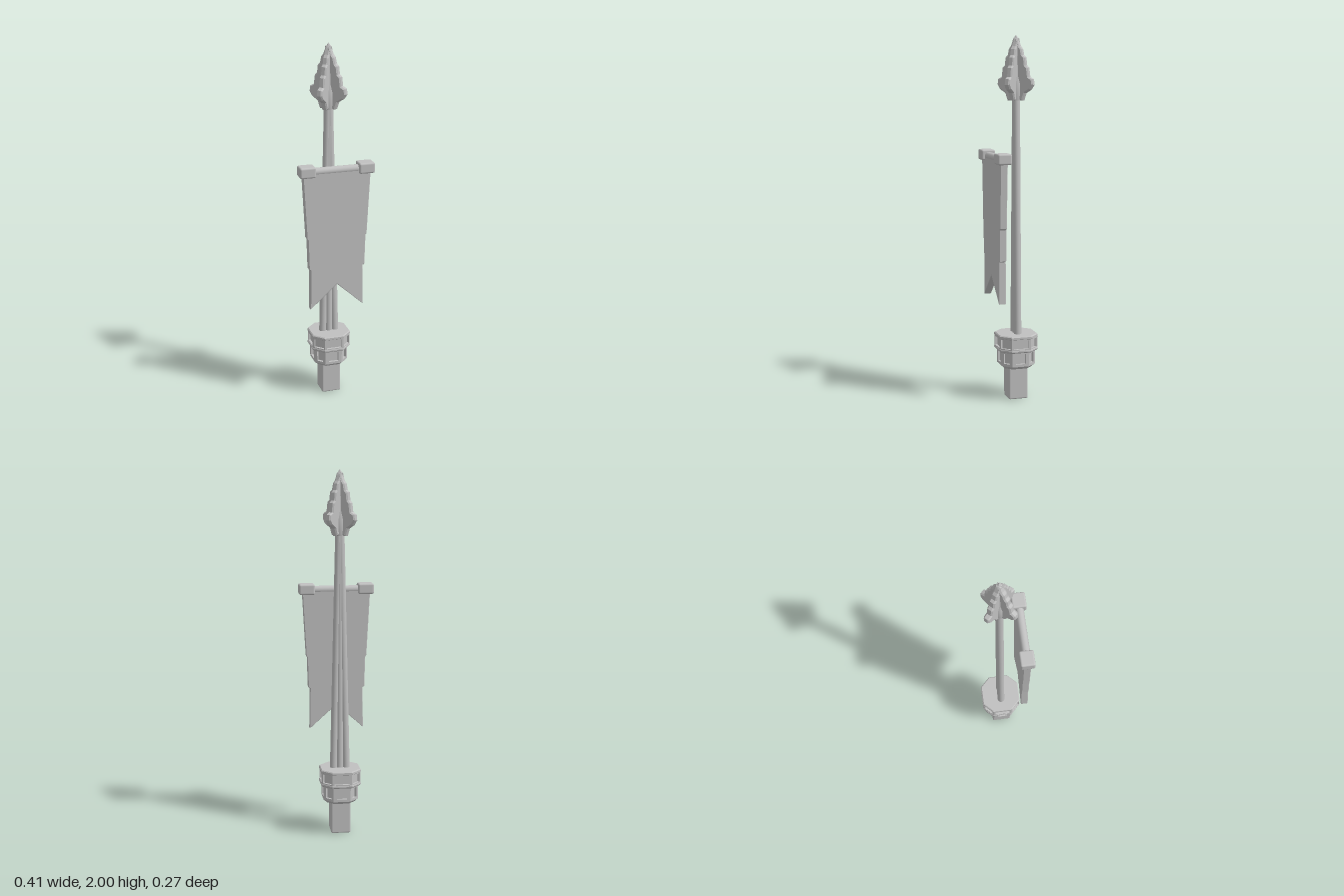
import * as THREE from 'three';
import { toCreasedNormals } from 'three/addons/utils/BufferGeometryUtils.js';
import { RoundedBoxGeometry } from 'three/addons/geometries/RoundedBoxGeometry.js';

const stone = new THREE.MeshStandardMaterial({ color: 0xc0c0c0 });
stone.name = 'plain grey';

function add(parent, name, geometry, x = 0, y = 0, z = 0) {
  const mesh = new THREE.Mesh(geometry, stone);
  mesh.name = name;
  mesh.position.set(x, y, z);
  parent.add(mesh);
  return mesh;
}

const shapeOf = pts => new THREE.Shape(pts.map(p => new THREE.Vector2(p[0], p[1])));

// Extrusion whose bevel stays inside the outline, centred on z
function slab(shape, thickness, bevel) {
  const g = new THREE.ExtrudeGeometry(shape, {
    depth: thickness - 2 * bevel, bevelEnabled: bevel > 0, bevelThickness: bevel,
    bevelSize: bevel, bevelOffset: -bevel, bevelSegments: 1,
  });
  return g.translate(0, 0, bevel - thickness / 2);
}

// Upright octagonal prism with chamfered top and bottom edges
function octPrism(a, y0, y1, bevel) {
  const h = a / 2;
  const shape = shapeOf([[a, -h], [a, h], [h, a], [-h, a], [-a, h], [-a, -h], [-h, -a], [h, -a]]);
  return slab(shape, y1 - y0, bevel).rotateX(-Math.PI / 2).translate(0, (y0 + y1) / 2, 0);
}

// Octagonal ring with one recessed window in every side
function windowRing(parent, name, a, y0, y1, marginX, marginY) {
  const ring = new THREE.Group();
  ring.name = name;
  parent.add(ring);
  const depth = 0.013;
  add(ring, 'ringCore', octPrism(a - depth, y0, y1, 0));
  for (let i = 0; i < 8; i++) {
    const diagonal = i % 2 === 1;
    const w = diagonal ? a * Math.SQRT1_2 / 2 : a / 2;
    const reach = diagonal ? a * 1.5 * Math.SQRT1_2 : a;
    const h = (y1 - y0) / 2, wx = w - marginX * (diagonal ? 0.75 : 1), wy = h - marginY;
    const frame = shapeOf([[-w, -h], [w, -h], [w, h], [-w, h]]);
    frame.holes.push(shapeOf([[-wx, -wy], [-wx, wy], [wx, wy], [wx, -wy]]));
    const g = slab(frame, depth, 0).translate(0, (y0 + y1) / 2, reach - depth / 2);
    add(ring, 'windowFrame', g.rotateY(i * Math.PI / 4));
  }
}

export function createModel() {
  const model = new THREE.Group();
  model.name = 'bannerSpear';
  const spear = new THREE.Group();
  spear.name = 'spear';
  spear.position.set(-0.005, 0, -0.025);
  model.add(spear);

  // Square foot and octagonal collar
  add(spear, 'foot', new RoundedBoxGeometry(0.108, 0.2, 0.108, 2, 0.008), 0, 0.1, 0);
  add(spear, 'collarBase', octPrism(0.092, 0.178, 0.215, 0.015));
  windowRing(spear, 'lowerCollar', 0.096, 0.195, 0.28, 0.02, 0.014);
  windowRing(spear, 'upperCollar', 0.108, 0.286, 0.355, 0.011, 0.01);
  add(spear, 'collarLip', octPrism(0.11, 0.274, 0.294, 0.006));
  add(spear, 'collarTop', octPrism(0.11, 0.347, 0.368, 0.005));

  // Three rods leaning together towards the head
  for (const side of [-1, 0, 1]) {
    const length = 1.33;
    const rod = add(spear, 'shaftRod', new THREE.CylinderGeometry(0.02, 0.02, length, 20), side * 0.02, 0.36 + length / 2, 0);
    rod.rotation.z = side * Math.atan(0.031 / length);
  }

  // Spearhead: turned core with four stepped fins
  const head = new THREE.Group();
  head.name = 'spearHead';
  spear.add(head);
  const profile = [[0, 1.65], [0.034, 1.65], [0.037, 1.68], [0.037, 1.74], [0.028, 1.78], [0.025, 1.88],
    [0.022, 1.93], [0.007, 1.99], [0, 2]].map(p => new THREE.Vector2(p[0], p[1]));
  add(head, 'headCore', toCreasedNormals(new THREE.LatheGeometry(profile, 20), 0.6));
  const fin = slab(shapeOf([[0, 1.65], [0.046, 1.65], [0.06, 1.69], [0.092, 1.71], [0.108, 1.735], [0.104, 1.765],
    [0.082, 1.777], [0.076, 1.825], [0.063, 1.838], [0.058, 1.88], [0.045, 1.892], [0.038, 1.925],
    [0.026, 1.94], [0.008, 1.985], [0, 1.985]]), 0.034, 0.007);
  for (let i = 0; i < 4; i++) add(head, 'headFin', fin).rotation.y = (i + 0.5) * Math.PI / 2;

  // Hanging cloth with stepped sides and a swallowtail hem
  const banner = new THREE.Group();
  banner.name = 'banner';
  banner.position.z = 0.097;
  model.add(banner);
  const edge = [[0.15, 0.565], [0.147, 0.795], [0.157, 0.8], [0.162, 0.97], [0.168, 0.978], [0.188, 1.345]];
  const outline = [[0, 0.7], ...edge, ...edge.map(([x, y]) => [-x, y]).reverse()];
  add(banner, 'cloth', slab(shapeOf(outline), 0.04, 0.003));

  // Crossbar and its end blocks
  const bar = new THREE.CylinderGeometry(0.022, 0.022, 0.36, 20).rotateZ(Math.PI / 2);
  add(banner, 'crossbar', bar, 0, 1.344, 0);
  for (const side of [-1, 1]) {
    add(banner, 'crossbarCap', new RoundedBoxGeometry(0.087, 0.058, 0.077, 3, 0.01), side * 0.163, 1.349, 0);
  }
  return model;
}
